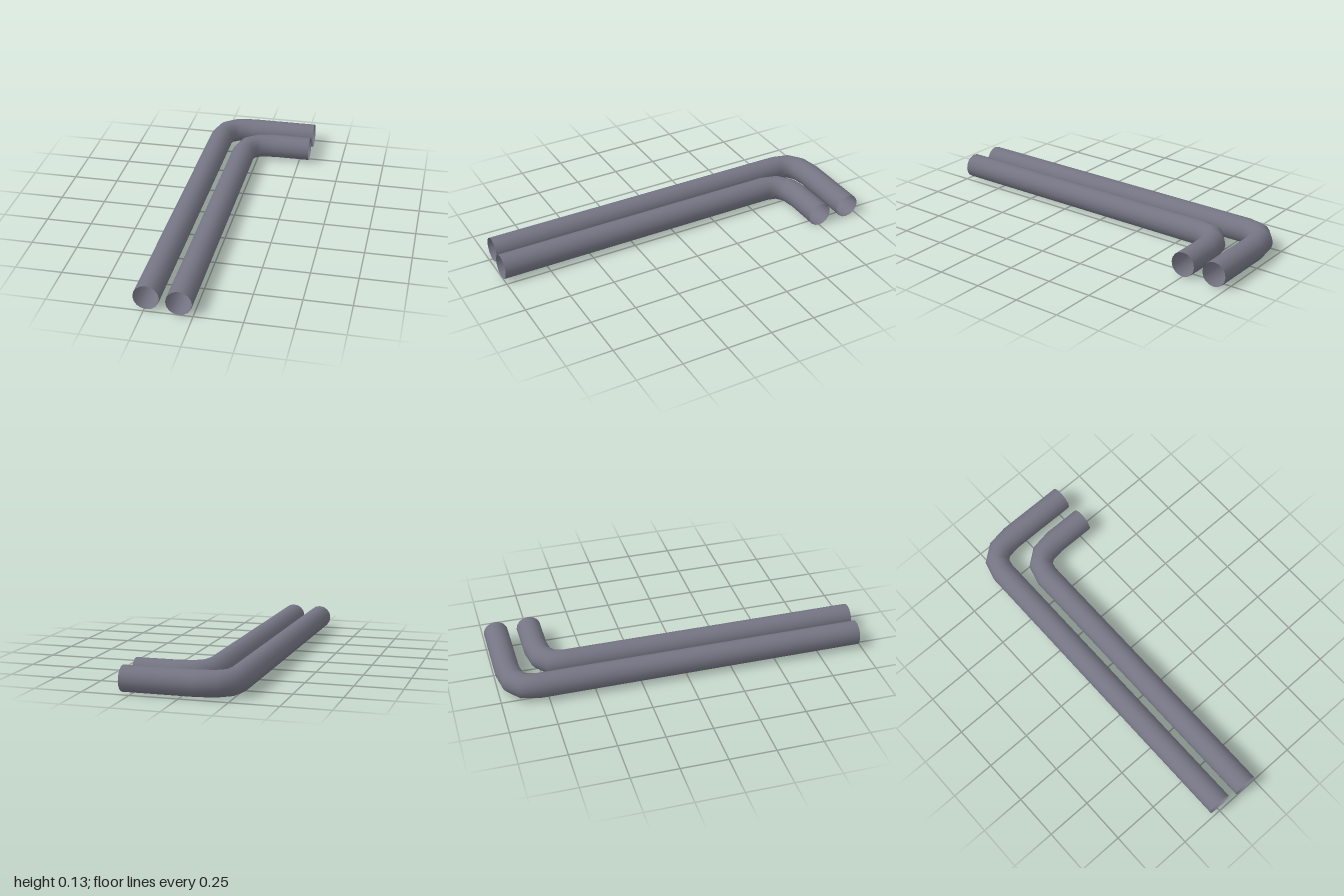
import * as THREE from 'three';

const RADIUS = 0.067;
const SIDES = 16;
const BEND_STEPS = 3;

// Open-ended pipe: runs back along -z, bends, then runs along +x
function pipeGeometry(x, zBack, zFront, xEnd) {
  const start = new THREE.Vector3(x, RADIUS, zBack + 0.133);
  const corner = new THREE.Vector3(x, RADIUS, zBack);
  const end = new THREE.Vector3(x + 0.172, RADIUS, zBack);
  const bend = new THREE.QuadraticBezierCurve3(start, corner, end);

  // Stations along the centre line
  const stations = [[new THREE.Vector3(x, RADIUS, zFront), bend.getTangent(0)]];
  for (let i = 0; i <= BEND_STEPS; i++) {
    stations.push([bend.getPoint(i / BEND_STEPS), bend.getTangent(i / BEND_STEPS)]);
  }
  stations.push([new THREE.Vector3(xEnd, RADIUS, zBack), bend.getTangent(1)]);

  // A ring of points at each station, joined by quads
  const positions = [], normals = [], index = [];
  stations.forEach(([p, t], i) => {
    for (let j = 0; j < SIDES; j++) {
      const a = (j / SIDES) * Math.PI * 2;
      const n = new THREE.Vector3(t.z * Math.cos(a), Math.sin(a), -t.x * Math.cos(a));
      normals.push(n.x, n.y, n.z);
      positions.push(p.x + n.x * RADIUS, p.y + n.y * RADIUS, p.z + n.z * RADIUS);
      if (i < stations.length - 1) {
        const k = (j + 1) % SIDES;
        const p0 = i * SIDES + j, p1 = i * SIDES + k;
        index.push(p0, p1, p0 + SIDES, p1, p1 + SIDES, p0 + SIDES);
      }
    }
  });

  const geometry = new THREE.BufferGeometry();
  geometry.setAttribute('position', new THREE.Float32BufferAttribute(positions, 3));
  geometry.setAttribute('normal', new THREE.Float32BufferAttribute(normals, 3));
  geometry.setIndex(index);
  return geometry;
}

export function createModel() {
  const group = new THREE.Group();
  group.name = 'bentPipes';

  const metal = new THREE.MeshStandardMaterial({ color: 0x747483, side: THREE.DoubleSide });
  metal.name = 'greyMetal';

  const addPipe = (name, ...size) => {
    const mesh = new THREE.Mesh(pipeGeometry(...size), metal);
    mesh.name = name;
    group.add(mesh);
  };

  addPipe('outerPipe', -0.24, -0.933, 0.983, 0.307);
  addPipe('innerPipe', -0.071, -0.75, 1.0, 0.307);
  return group;
}
